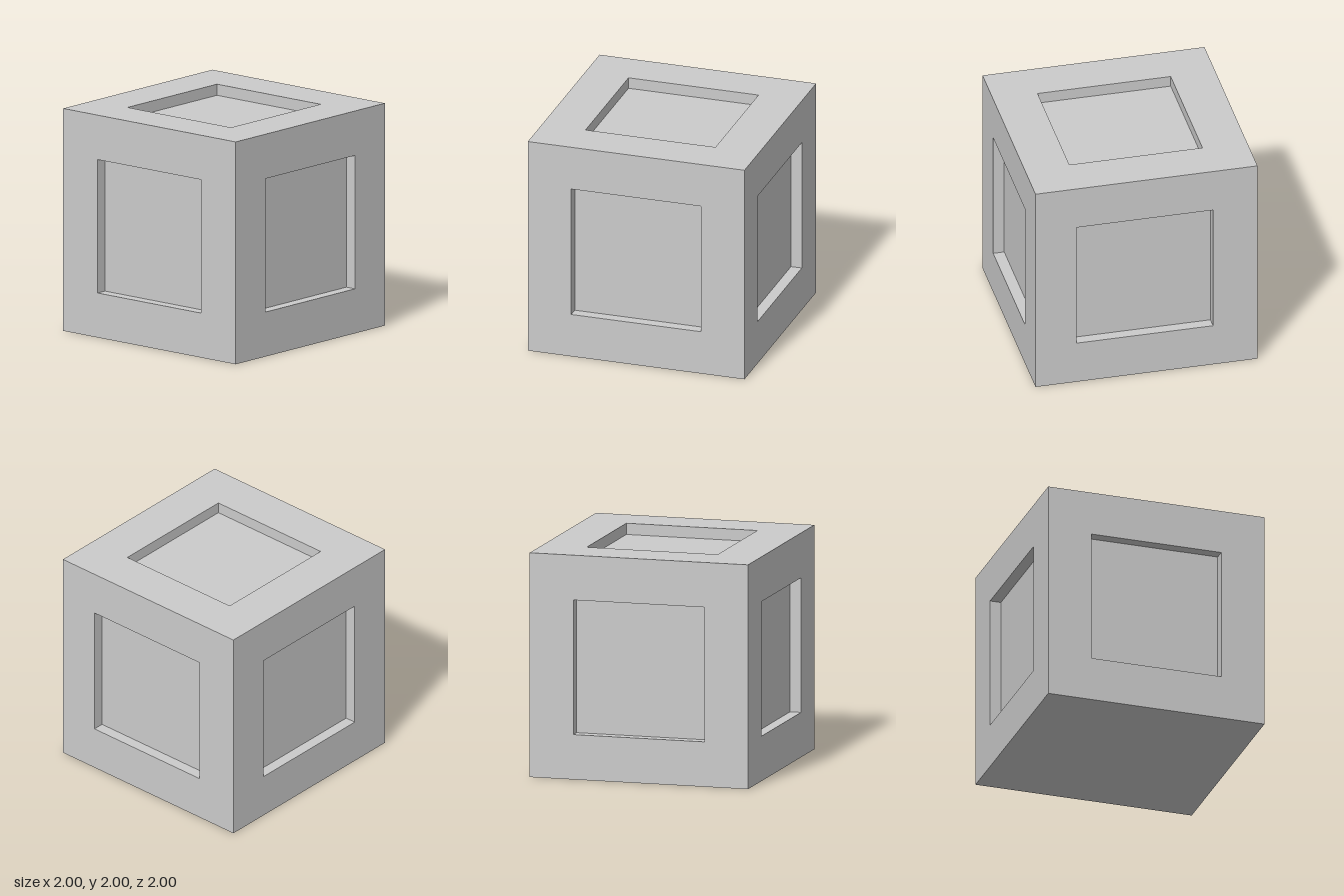
import * as THREE from 'three';

const HALF = 1;      // half the cube's edge
const INSET = 0.6;   // half the recess opening
const DEPTH = 0.1;   // recess depth

const material = new THREE.MeshStandardMaterial({ color: 0xcccccc, flatShading: true });

function addMesh(parent, name, geometry) {
  const mesh = new THREE.Mesh(geometry, material);
  mesh.name = name;
  parent.add(mesh);
  return mesh;
}

// One cube side facing local +z, with a recess from x = left to x = right
function createSide(name, left = -INSET, right = INSET) {
  const side = new THREE.Group();
  side.name = name;
  const width = right - left, height = 2 * INSET, midX = (left + right) / 2;

  // Flat border around the opening
  const border = new THREE.Shape([
    new THREE.Vector2(-HALF, -HALF), new THREE.Vector2(HALF, -HALF),
    new THREE.Vector2(HALF, HALF), new THREE.Vector2(-HALF, HALF),
  ]);
  border.holes.push(new THREE.Path([
    new THREE.Vector2(left, -INSET), new THREE.Vector2(left, INSET),
    new THREE.Vector2(right, INSET), new THREE.Vector2(right, -INSET),
  ]));
  addMesh(side, 'border', new THREE.ShapeGeometry(border)).position.z = HALF;

  // Sunken panel
  addMesh(side, 'recessPanel', new THREE.PlaneGeometry(width, height))
    .position.set(midX, 0, HALF - DEPTH);

  // Recess walls, facing inwards
  for (const s of [-1, 1]) {
    const upright = addMesh(side, 'recessSideWall', new THREE.PlaneGeometry(DEPTH, height));
    upright.rotation.y = -s * Math.PI / 2;
    upright.position.set(midX + s * width / 2, 0, HALF - DEPTH / 2);

    const level = addMesh(side, 'recessEndWall', new THREE.PlaneGeometry(width, DEPTH));
    level.rotation.x = s * Math.PI / 2;
    level.position.set(midX, s * INSET, HALF - DEPTH / 2);
  }
  return side;
}

export function createModel() {
  const cube = new THREE.Group();
  cube.name = 'panelledCube';

  // Four upright sides; the back recess is slightly wider towards +x
  ['frontSide', 'leftSide', 'backSide', 'rightSide'].forEach((name, i) => {
    const side = createSide(name, name === 'backSide' ? -0.63 : -INSET);
    side.rotation.y = i * Math.PI / 2;
    side.position.y = HALF;
    cube.add(side);
  });

  // Top
  const top = createSide('topSide');
  top.rotation.x = -Math.PI / 2;
  top.position.y = HALF;
  cube.add(top);

  // Plain underside
  const base = addMesh(cube, 'underside', new THREE.PlaneGeometry(2 * HALF, 2 * HALF));
  base.rotation.x = Math.PI / 2;

  return cube;
}
